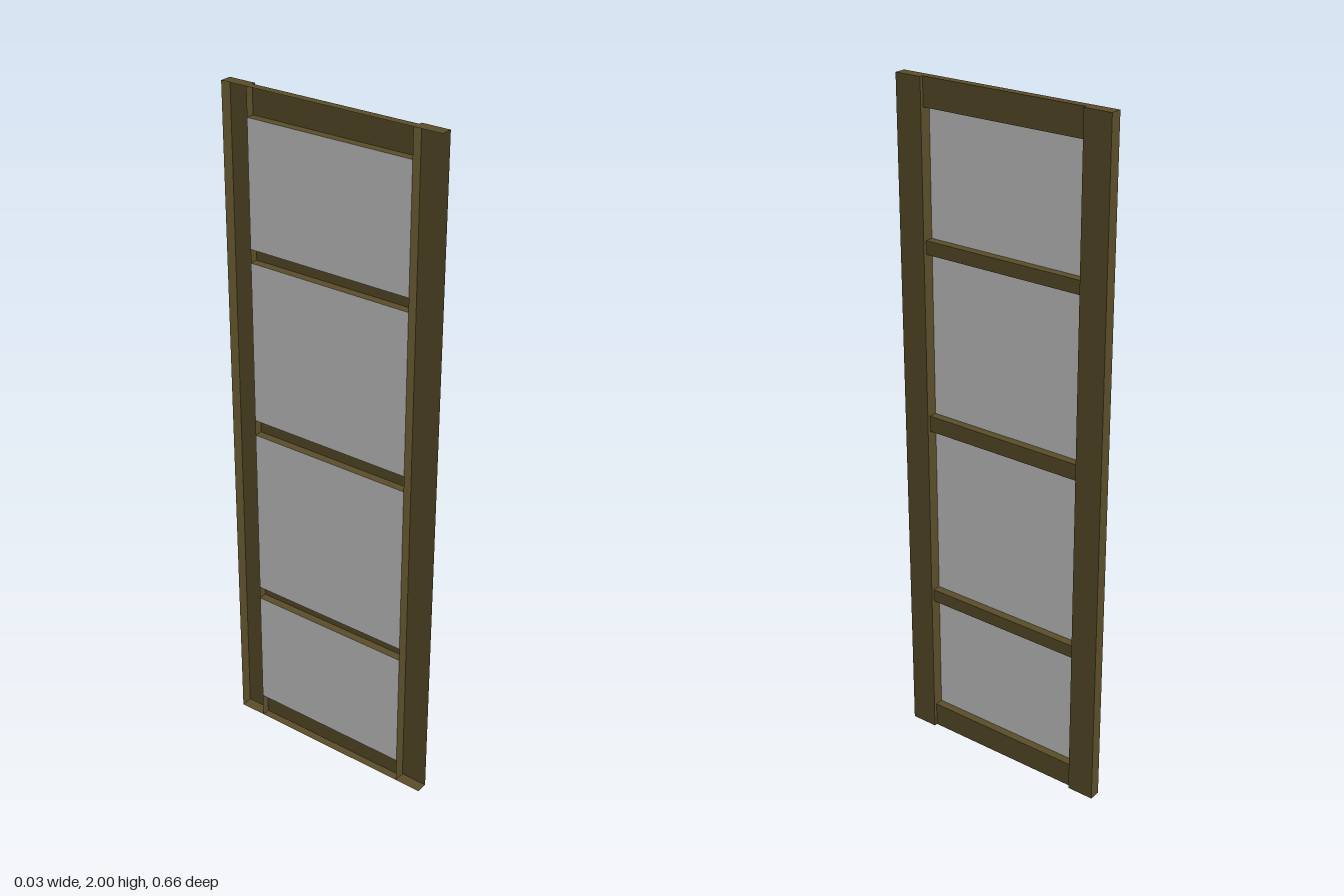
import * as THREE from 'three';

const HALF_DEPTH = 0.017; // stile half thickness in x
const HALF_WIDTH = 0.332; // outer half width in z
const INNER = 0.251; // half width of the opening
const RAIL_FRONT = 0.007; // rails sit back from the stile faces

// BoxGeometry face order
const FACE = { px: 0, nx: 1, py: 2, ny: 3, pz: 4, nz: 5 };

// Box between two corners with some faces left open
function openBox(min, max, skip) {
  const size = max.map((v, i) => v - min[i]);
  const geo = new THREE.BoxGeometry(...size);
  const source = Array.from(geo.index.array);
  const drop = skip.map((name) => FACE[name]);
  geo.setIndex(source.filter((_, i) => !drop.includes(Math.floor(i / 6))));
  geo.clearGroups();
  geo.translate(...max.map((v, i) => (v + min[i]) / 2));
  return geo;
}

export function createModel() {
  const group = new THREE.Group();
  group.name = 'panelledFrame';
  const wood = new THREE.MeshStandardMaterial({ color: 0x5b4e2a, side: THREE.DoubleSide });
  const glass = new THREE.MeshStandardMaterial({ color: 0xcccccc, side: THREE.DoubleSide });

  const add = (name, geo, material) => {
    const mesh = new THREE.Mesh(geo, material);
    mesh.name = name;
    group.add(mesh);
  };

  // Upright stiles, hollow at the back; the front one is also open at its outer end
  add('frontStile', openBox([-HALF_DEPTH, 0, INNER], [HALF_DEPTH, 2, HALF_WIDTH], ['nx', 'pz']), wood);
  add('rearStile', openBox([-HALF_DEPTH, 0, -HALF_WIDTH], [HALF_DEPTH, 2, -INNER], ['nx']), wood);

  // Cross rails: bottom and top heights of each
  const rails = [
    ['bottomRail', 0, 0.075],
    ['lowerGlazingBar', 0.444, 0.483],
    ['middleRail', 1.002, 1.049],
    ['upperGlazingBar', 1.524, 1.563],
    ['topRail', 1.92, 2],
  ];
  rails.forEach(([name, y0, y1]) => {
    add(name, openBox([-HALF_DEPTH, y0, -INNER], [RAIL_FRONT, y1, INNER], ['nx', 'pz', 'nz']), wood);
  });

  // One thin pane between each pair of rails, level with the back
  for (let i = 0; i < rails.length - 1; i++) {
    const y0 = rails[i][2];
    const y1 = rails[i + 1][1];
    const pane = new THREE.PlaneGeometry(2 * INNER, y1 - y0);
    pane.rotateY(Math.PI / 2).translate(-HALF_DEPTH, (y0 + y1) / 2, 0);
    add(`pane${i + 1}`, pane, glass);
  }

  return group;
}
